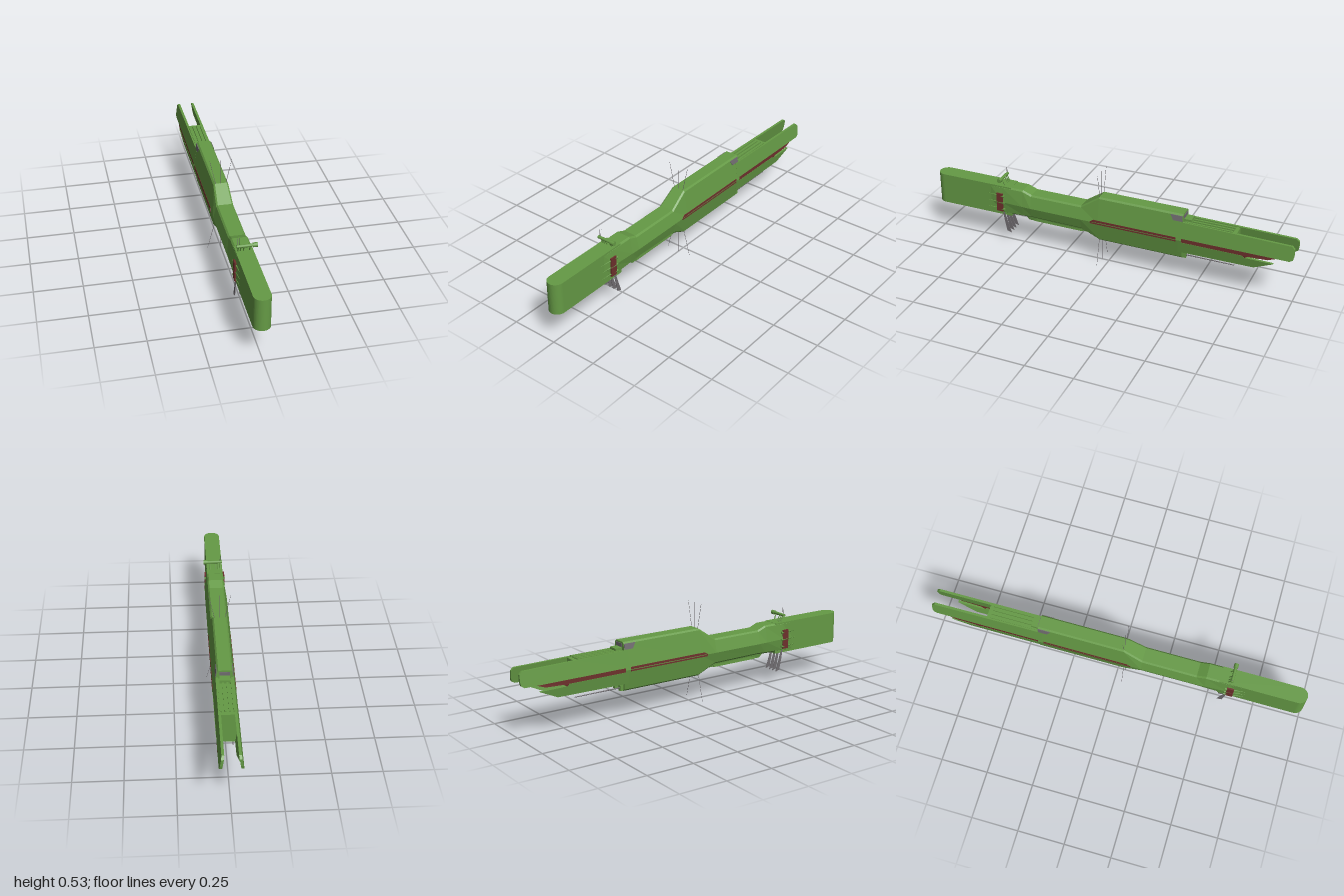
import * as THREE from 'three';

const green = new THREE.MeshStandardMaterial({ color: 0x659a45 });
green.name = 'hullGreen';
const red = new THREE.MeshStandardMaterial({ color: 0x6e302c });
red.name = 'ventRed';
const grey = new THREE.MeshStandardMaterial({ color: 0x706c70 });
grey.name = 'metalGrey';

// Half width of the hexagonal hull at height y
const hullX = (y) => (y >= 0.25 ? 0.06 - (y - 0.25) * 0.15 : 0.06 - (0.25 - y) * 0.175);

// Closed solid from cross-sections listed front to back, each counterclockwise from the front
function loft(sections) {
  const out = [];
  const n = sections[0].length;
  for (let s = 0; s < sections.length - 1; s++) {
    const f = sections[s], b = sections[s + 1];
    for (let i = 0; i < n; i++) {
      const j = (i + 1) % n;
      out.push(...f[i], ...b[i], ...f[j], ...f[j], ...b[i], ...b[j]);
    }
  }
  const front = sections[0], back = sections[sections.length - 1];
  for (let i = 1; i < n - 1; i++) {
    out.push(...front[0], ...front[i], ...front[i + 1]);
    out.push(...back[0], ...back[i + 1], ...back[i]);
  }
  const g = new THREE.BufferGeometry();
  g.setAttribute('position', new THREE.Float32BufferAttribute(out, 3));
  g.computeVertexNormals();
  return g;
}

// Hexagonal hull section with chamfered top and bottom
function hullSection([z, yb, yt, wMid, wTop]) {
  const c = 0.008;
  const half = [[wTop - c, yb], [wTop, yb + c], [wMid, 0.25], [wTop, yt - c], [wTop - c, yt]];
  const other = half.map(([x, y]) => [-x, y]).reverse();
  return [...half, ...other].map(([x, y]) => [x, y, z]);
}

// Plate with a (z, y) outline that follows the slanted hull side; side is 1 or -1
function sidePlate(outline, side, thick, offset = 0) {
  const shape = new THREE.Shape(outline.map(([z, y]) => new THREE.Vector2(-z, y)));
  const g = new THREE.ExtrudeGeometry(shape, { depth: thick, bevelEnabled: false });
  const p = g.attributes.position;
  for (let i = 0; i < p.count; i++) {
    const z = -p.getX(i), y = p.getY(i), d = p.getZ(i);
    const w = hullX(y) + offset;
    p.setXYZ(i, side > 0 ? w - thick + d : -w + d, y, z);
  }
  g.computeVertexNormals();
  return g;
}

export function createModel() {
  const root = new THREE.Group();
  root.name = 'spaceship';

  const add = (name, geometry, material) => {
    const m = new THREE.Mesh(geometry, material);
    m.name = name;
    root.add(m);
    return m;
  };
  // Box given by its limits on each axis
  const box = (name, x0, x1, y0, y1, z0, z1, mat = green) =>
    add(name, new THREE.BoxGeometry(x1 - x0, y1 - y0, z1 - z0), mat)
      .position.set((x0 + x1) / 2, (y0 + y1) / 2, (z0 + z1) / 2);
  // Round bar between two points
  const rod = (name, a, b, r0, r1, mat, sides = 6) => {
    const A = new THREE.Vector3(...a), B = new THREE.Vector3(...b);
    const d = B.clone().sub(A);
    const m = add(name, new THREE.CylinderGeometry(r1, r0, d.length(), sides), mat);
    m.position.copy(A).add(B).multiplyScalar(0.5);
    m.quaternion.setFromUnitVectors(new THREE.Vector3(0, 1, 0), d.normalize());
  };

  // Nose with a half-round front
  const r = 0.043;
  const nose = new THREE.Shape();
  nose.moveTo(-r, -0.55);
  nose.lineTo(r, -0.55);
  nose.lineTo(r, -1 + r);
  nose.absarc(0, -1 + r, r, 0, -Math.PI, true);
  nose.closePath();
  const noseGeo = new THREE.ExtrudeGeometry(nose, { depth: 0.17, bevelEnabled: false, curveSegments: 16 });
  noseGeo.rotateX(-Math.PI / 2).translate(0, 0.172, 0);
  add('nose', noseGeo, green);

  // Main hull: collar, neck and tall engine block
  add('hull', loft([
    [0.67, 0.174, 0.34, 0.043, 0.043],
    [0.6, 0.18, 0.341, 0.053, 0.044],
    [0.48, 0.185, 0.341, 0.058, 0.044],
    [0.43, 0.188, 0.322, 0.06, 0.044],
    [0.14, 0.185, 0.322, 0.06, 0.044],
    [0.04, 0.137, 0.391, 0.06, 0.039],
    [-0.42, 0.137, 0.391, 0.06, 0.039],
  ].map(hullSection)), green);

  // Belly tray and its rails
  add('bellyTray', loft([[0.47, 0.182], [0.45, 0.164], [0.41, 0.164], [0.39, 0.172], [0.08, 0.165]].map(([z, y]) =>
    [[-0.028, y, z], [0.028, y, z], [0.034, 0.195, z], [-0.034, 0.195, z]])), green);
  for (const x of [-0.026, 0, 0.026]) box('bellyRail', x - 0.004, x + 0.004, 0.163, 0.19, 0.14, 0.42);
  box('chinPlate', -0.03, 0.03, 0.168, 0.185, 0.6, 0.66);

  // Rear core between the fins, with ribs on its deck
  box('rearCore', -0.043, 0.043, 0.18, 0.343, -0.7, -0.4);
  for (const x of [-0.032, -0.011, 0.011, 0.032]) box('deckRib', x - 0.005, x + 0.005, 0.34, 0.351, -0.68, -0.43);
  box('deckStep', -0.026, 0.026, 0.34, 0.362, -0.46, -0.41);

  for (const s of [1, -1]) {
    // Long upper and short lower tail fins
    add('upperFin', sidePlate([[-0.4, 0.262], [-0.98, 0.262], [-0.996, 0.272], [-1, 0.29], [-1, 0.328],
      [-0.985, 0.342], [-0.7, 0.346], [-0.4, 0.35]], s, 0.013), green);
    add('lowerFin', sidePlate([[-0.4, 0.24], [-0.4, 0.176], [-0.8, 0.18], [-0.9, 0.227], [-0.75, 0.229],
      [-0.74, 0.24]], s, 0.013), green);
    // Red vents along the waist
    add('waistVent', sidePlate([[0.085, 0.25], [0.065, 0.264], [-0.39, 0.264], [-0.39, 0.241], [0.08, 0.241]],
      s, 0.008, 0.0015), red);
    add('tailVent', sidePlate([[-0.41, 0.264], [-0.92, 0.264], [-0.87, 0.245], [-0.77, 0.24], [-0.75, 0.226],
      [-0.72, 0.238], [-0.41, 0.238]], s, 0.009, -0.001), red);
    // Red intake on the collar, with pointed fairings in front
    for (const [y0, y1] of [[0.195, 0.243], [0.249, 0.3]])
      box('collarVent', s > 0 ? 0.046 : -0.055, s > 0 ? 0.055 : -0.046, y0, y1, 0.595, 0.632, red);
    for (const y of [0.208, 0.246, 0.286])
      rod('collarSpike', [s * 0.051, y, 0.585], [s * 0.043, y, 0.69], 0.007, 0.0005, green, 8);
    // Cabin side window
    add('sideWindow', sidePlate([[-0.352, 0.383], [-0.418, 0.383], [-0.418, 0.354], [-0.37, 0.354]],
      s, 0.006, 0.002), grey);
    // Slanted aerials above and below
    rod('upperAerial', [s * 0.026, 0.385, 0.04], [s * 0.057, 0.525, 0.04], 0.0012, 0.0008, grey);
    rod('lowerAerial', [s * 0.035, 0.142, 0.04], [s * 0.072, 0, 0.04], 0.0012, 0.0008, grey);
    // Stern gun pods under the block
    box('sternMount', s * 0.026 - 0.008, s * 0.026 + 0.008, 0.14, 0.178, -0.44, -0.41);
    rod('sternRod', [s * 0.026, 0.155, -0.42], [s * 0.026, 0.155, -0.695], 0.0035, 0.0025, grey);
  }
  rod('upperAerial', [0, 0.385, 0.04], [0, 0.525, 0.04], 0.0012, 0.0008, grey);
  rod('lowerAerial', [0, 0.14, 0.04], [0, 0, 0.04], 0.0012, 0.0008, grey);
  box('rearWindow', -0.026, 0.026, 0.364, 0.383, -0.423, -0.418, grey);

  // Hanging paddles under the collar
  const paddle = new THREE.Shape([[-0.602, 0.185], [-0.595, 0.14], [-0.582, 0.076], [-0.556, 0.068],
    [-0.575, 0.125], [-0.592, 0.185]].map(([x, y]) => new THREE.Vector2(x, y)));
  for (const x of [-0.042, -0.013, 0.013, 0.042]) {
    const g = new THREE.ExtrudeGeometry(paddle, { depth: 0.003, bevelEnabled: false });
    g.rotateY(Math.PI / 2).translate(x - 0.0015, 0, 0);
    add('paddle', g, grey);
  }

  // Sensor bar on posts above the collar
  rod('sensorBar', [-0.043, 0.379, 0.61], [0.045, 0.379, 0.61], 0.008, 0.008, green, 12);
  rod('sensorHead', [0.038, 0.379, 0.61], [0.06, 0.379, 0.61], 0.0115, 0.0115, green, 14);
  for (const x of [-0.032, -0.02, -0.005, 0.025]) rod('sensorPost', [x, 0.335, 0.59], [x, 0.378, 0.61], 0.003, 0.003, green);
  for (const [x, y] of [[-0.036, 0.42], [-0.028, 0.423]])
    rod('sensorWhip', [x, 0.38, 0.61], [x, y, 0.605], 0.001, 0.0008, grey);

  return root;
}
